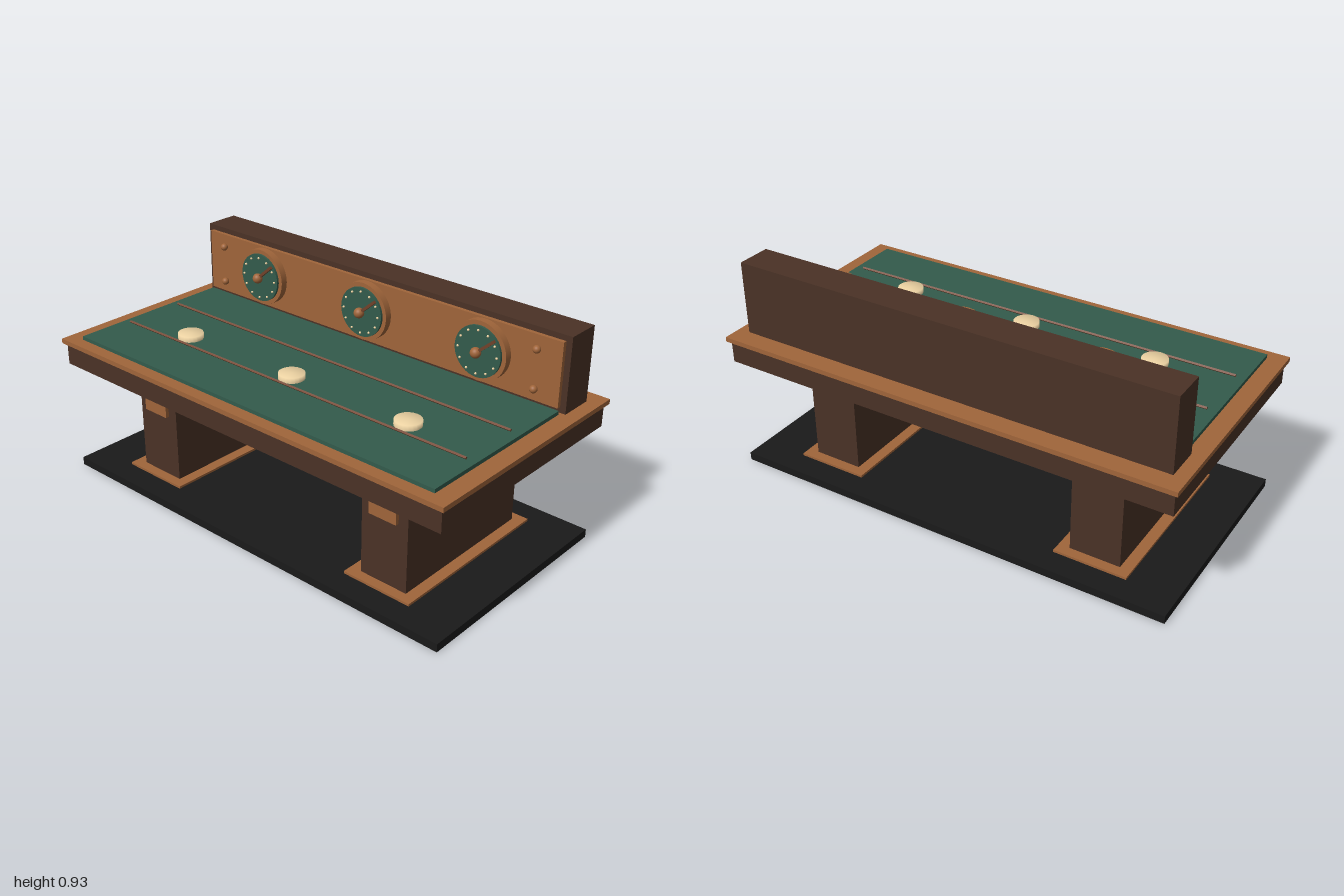
import * as THREE from 'three';

const mat = (color) => new THREE.MeshStandardMaterial({ color });

export function createModel() {
  const root = new THREE.Group();
  const wood = mat(0x4a3226), copper = mat(0xa0653a), green = mat(0x335b4c);
  const black = mat(0x1a1a1a), cream = mat(0xecd2a2), bronze = mat(0x70422a);

  const add = (parent, name, geometry, material, x = 0, y = 0, z = 0) => {
    const mesh = new THREE.Mesh(geometry, material);
    mesh.name = name;
    mesh.position.set(x, y, z);
    parent.add(mesh);
    return mesh;
  };
  // Box given by its lower and upper limits on each axis
  const box = (name, material, x0, x1, y0, y1, z0, z1) =>
    add(root, name, new THREE.BoxGeometry(x1 - x0, y1 - y0, z1 - z0), material,
      (x0 + x1) / 2, (y0 + y1) / 2, (z0 + z1) / 2);
  // Cylinder lying along z
  const disc = (parent, name, material, r, z0, z1) => {
    const geometry = new THREE.CylinderGeometry(r, r, z1 - z0, 40).rotateX(Math.PI / 2);
    return add(parent, name, geometry, material, 0, 0, (z0 + z1) / 2);
  };

  // Floor base
  box('floorBase', black, -0.98, 0.98, 0.002, 0.037, -0.49, 0.49);

  // Two pedestals, each with a plinth and a front plate
  for (const s of [-1, 1]) {
    const c = s * 0.616;
    box('plinth', copper, c - 0.156, c + 0.156, 0, 0.047, -0.386, 0.386);
    box('pedestal', wood, c - 0.108, c + 0.108, 0.047, 0.5, -0.343, 0.343);
    box('pedestalPlate', copper, c - 0.064, c + 0.064, 0.331, 0.384, 0.34, 0.359);
  }

  // Table body
  box('tableApron', wood, -0.985, 0.985, 0.5, 0.595, -0.508, 0.508);
  box('tableTop', copper, -1, 1, 0.595, 0.615, -0.523, 0.523);
  box('feltSurface', green, -0.924, 0.924, 0.614, 0.631, -0.281, 0.47);

  // Thin four-sided rails across the felt
  for (const z of [-0.027, 0.243]) {
    const rail = new THREE.CylinderGeometry(0.006, 0.006, 1.77, 4).rotateZ(Math.PI / 2);
    const m = bronze.clone();
    m.flatShading = true;
    add(root, 'feltRail', rail, m, 0, 0.638, z);
  }

  // Back cabinet and its front panel
  box('backCabinet', wood, -0.945, 0.945, 0.617, 0.93, -0.443, -0.295);
  box('cabinetPanel', copper, -0.92, 0.92, 0.64, 0.907, -0.296, -0.278);
  for (const x of [-0.82, 0.82])
    for (const y of [0.694, 0.856])
      add(root, 'panelKnob', new THREE.SphereGeometry(0.016, 20, 14), copper, x, y, -0.261);

  for (const x of [-0.578, 0, 0.578]) {
    // Low smooth button on the felt
    const profile = [[0, 0.654], [0.054, 0.654], [0.054, 0.63]]
      .reverse().map(([r, y]) => new THREE.Vector2(r, y));
    add(root, 'feltButton', new THREE.LatheGeometry(profile, 20), cream, x, 0, 0.175);

    // Dial gauge
    const gauge = new THREE.Group();
    gauge.name = 'gauge';
    gauge.position.set(x, 0.78, 0);
    root.add(gauge);
    disc(gauge, 'gaugeRim', copper, 0.124, -0.28, -0.247);
    disc(gauge, 'gaugeFace', green, 0.106, -0.25, -0.237);
    add(gauge, 'gaugeHub', new THREE.SphereGeometry(0.022, 24, 16), copper, 0, 0, -0.225);

    // Dots around the face
    for (let i = 0; i < 12; i++) {
      const a = (i / 12) * Math.PI * 2;
      add(gauge, 'gaugeDot', new THREE.SphereGeometry(0.005, 10, 8), cream,
        Math.cos(a) * 0.09, Math.sin(a) * 0.09, -0.234);
    }

    // Needle pointing up and to the side
    const needle = add(gauge, 'gaugeNeedle', new THREE.BoxGeometry(0.1, 0.012, 0.012), bronze,
      0.042, 0.036, -0.227);
    needle.rotation.z = 0.71;
  }

  return root;
}
